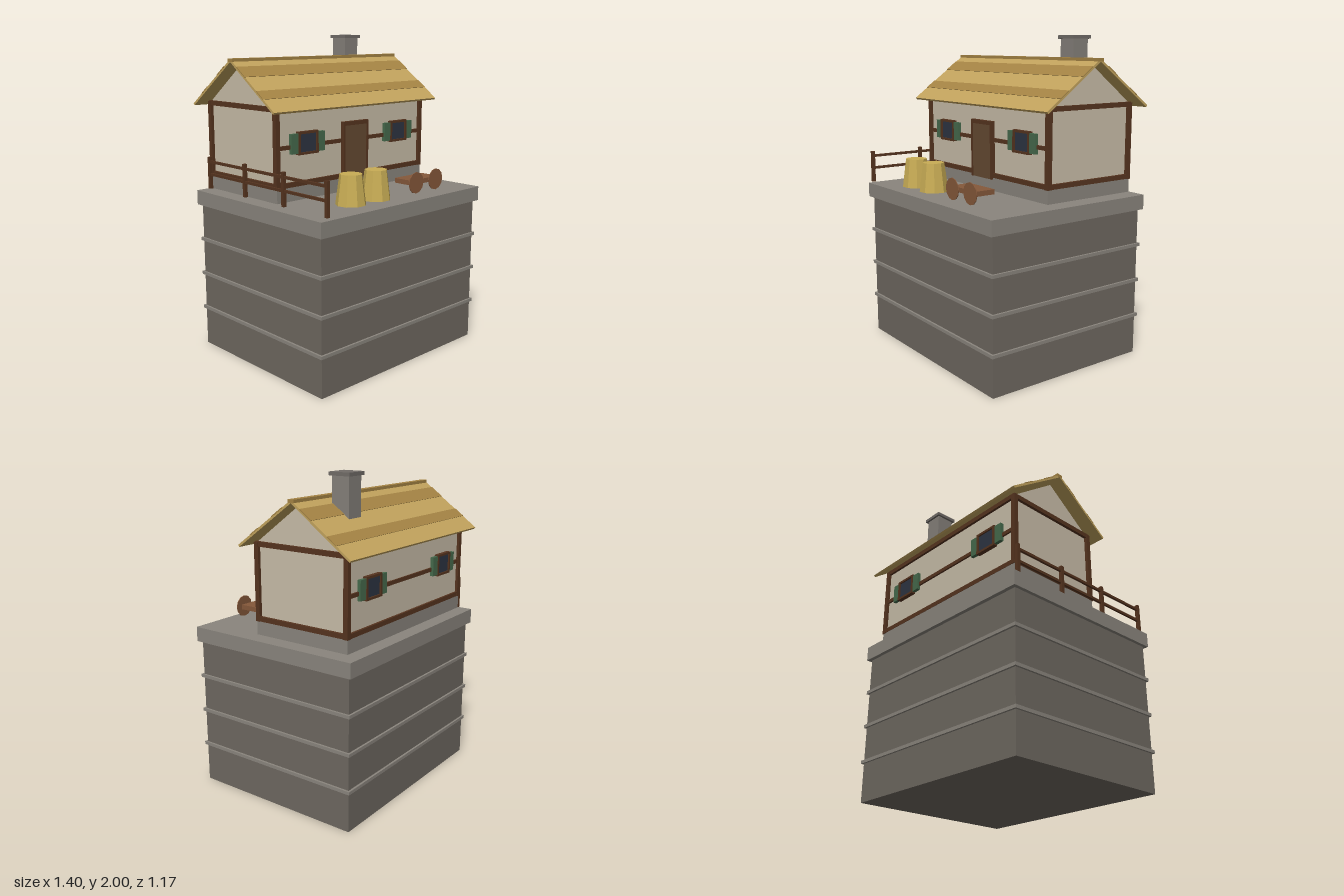
import * as THREE from 'three';

const COLORS = {
  stone: 0x6e6860, trim: 0x8a857d, plaster: 0xc8bda8, timber: 0x56341f, door: 0x654a32,
  thatch: 0xc2a35d, thatchDark: 0xa58444, chimney: 0x85807a, chimneyCap: 0x716c68,
  glass: 0x2d3442, shutter: 0x466a4c, straw: 0xc9ad55, cart: 0x85583a,
};
const materials = {};
for (const key in COLORS) {
  materials[key] = new THREE.MeshStandardMaterial({ color: COLORS[key], flatShading: true });
}

function add(parent, name, geometry, color, x = 0, y = 0, z = 0) {
  const mesh = new THREE.Mesh(geometry, materials[color]);
  mesh.name = name;
  mesh.position.set(x, y, z);
  parent.add(mesh);
  return mesh;
}

// Box given by its extents along each axis
function box(parent, name, color, [x0, x1], [y0, y1], [z0, z1]) {
  return add(parent, name, new THREE.BoxGeometry(x1 - x0, y1 - y0, z1 - z0), color,
    (x0 + x1) / 2, (y0 + y1) / 2, (z0 + z1) / 2);
}

function group(parent, name, x = 0, y = 0, z = 0) {
  const g = new THREE.Group();
  g.name = name;
  g.position.set(x, y, z);
  parent.add(g);
  return g;
}

const HOUSE_Z = -0.19;

function buildBase(root) {
  const base = group(root, 'stoneBase');
  box(base, 'block', 'stone', [-0.675, 0.675], [0, 0.94], [-0.56, 0.56]);
  for (const y of [0.253, 0.485, 0.714]) {
    box(base, 'band', 'trim', [-0.688, 0.688], [y - 0.01, y + 0.01], [-0.573, 0.573]);
  }
  box(base, 'capSlab', 'trim', [-0.697, 0.697], [0.94, 1.032], [-0.585, 0.585]);
}

// Window with frame and shutters, facing +z
function buildWindow(parent, x) {
  const w = group(parent, 'window', x, 1.385, 0.325);
  box(w, 'glass', 'glass', [-0.065, 0.065], [-0.056, 0.056], [-0.01, 0.008]);
  for (const s of [-1, 1]) {
    add(w, 'frameSide', new THREE.BoxGeometry(0.014, 0.136, 0.03), 'timber', s * 0.07, 0, 0.002);
    add(w, 'frameRail', new THREE.BoxGeometry(0.154, 0.014, 0.03), 'timber', 0, s * 0.061, 0.002);
    add(w, 'shutter', new THREE.BoxGeometry(0.053, 0.118, 0.022), 'shutter', s * 0.104, 0, 0.002);
  }
}

function buildHouse(root) {
  const house = group(root, 'house', 0, 0, HOUSE_Z);
  box(house, 'plinth', 'trim', [-0.63, 0.63], [1.048, 1.14], [-0.328, 0.328]);
  box(house, 'walls', 'plaster', [-0.615, 0.615], [1.13, 1.6], [-0.315, 0.315]);

  // Gable prism under the roof
  const tri = new THREE.Shape([
    new THREE.Vector2(-0.32, 1.6), new THREE.Vector2(0.32, 1.6), new THREE.Vector2(0, 1.837),
  ]);
  const gable = add(house, 'gables',
    new THREE.ExtrudeGeometry(tri, { depth: 1.23, bevelEnabled: false }), 'plaster', -0.615);
  gable.rotation.y = Math.PI / 2;

  // Timber frame
  for (const s of [-1, 1]) {
    for (const t of [-1, 1]) {
      add(house, 'cornerPost', new THREE.BoxGeometry(0.03, 0.47, 0.03), 'timber', s * 0.62, 1.365, t * 0.317);
    }
    for (const y of [1.146, 1.59]) {
      add(house, 'longBeam', new THREE.BoxGeometry(1.25, 0.029, 0.028), 'timber', 0, y, s * 0.316);
      add(house, 'endBeam', new THREE.BoxGeometry(0.028, 0.029, 0.64), 'timber', s * 0.619, y, 0);
    }
    add(house, 'middleBeam', new THREE.BoxGeometry(1.23, 0.024, 0.024), 'timber', 0, 1.367, s * 0.314);
  }

  // Windows on the front and the back
  for (const turn of [0, Math.PI]) {
    const side = group(house, turn ? 'backWindows' : 'frontWindows');
    side.rotation.y = turn;
    for (const s of [-1, 1]) buildWindow(side, s * 0.394);
  }

  // Door
  box(house, 'doorPanel', 'door', [-0.095, 0.092], [1.12, 1.462], [0.31, 0.338]);
  for (const x of [-0.102, 0.099]) {
    box(house, 'doorJamb', 'timber', [x - 0.007, x + 0.007], [1.12, 1.48], [0.31, 0.343]);
  }
  box(house, 'doorLintel', 'timber', [-0.109, 0.106], [1.458, 1.482], [0.31, 0.343]);
}

function buildRoof(root) {
  const roof = group(root, 'roof', 0, 1.858, HOUSE_Z);
  const angle = Math.atan2(0.279, 0.392);
  const length = Math.hypot(0.279, 0.392);
  for (const turn of [0, Math.PI]) {
    const half = group(roof, 'roofHalf');
    half.rotation.y = turn;
    const slope = group(half, 'slope');
    slope.rotation.x = angle;
    box(slope, 'slab', 'thatch', [-0.697, 0.697], [-0.007, 0.007], [0, length]);
    // Darker thatch courses
    for (const [a, b] of [[0.07, 0.165], [0.292, 0.366]]) {
      box(slope, 'darkCourse', 'thatchDark', [-0.698, 0.698], [0.004, 0.0095], [a, b]);
    }
  }
  box(roof, 'ridge', 'thatchDark', [-0.698, 0.698], [-0.008, 0.012], [-0.021, 0.021]);

  const chimney = group(root, 'chimney', 0.345, 0, -0.303);
  box(chimney, 'stack', 'chimney', [-0.058, 0.058], [1.69, 1.982], [-0.058, 0.058]);
  box(chimney, 'chimneyCap', 'chimneyCap', [-0.071, 0.071], [1.979, 2], [-0.071, 0.071]);
}

function buildFence(root) {
  const fence = group(root, 'fence', -0.644);
  for (let i = 0; i < 4; i++) {
    add(fence, 'post', new THREE.BoxGeometry(0.021, 0.202, 0.021), 'timber', 0, 1.149, 0.575 - i * 0.361);
  }
  for (const y of [1.14, 1.22]) {
    box(fence, 'rail', 'timber', [-0.007, 0.007], [y - 0.008, y + 0.008], [-0.508, 0.575]);
  }
}

function buildYard(root) {
  // Straw stacks
  for (const x of [-0.324, -0.117]) {
    const stack = add(root, 'strawStack', new THREE.CylinderGeometry(0.067, 0.091, 0.18, 9), 'straw', x, 1.138, 0.432);
    stack.rotation.y = Math.PI;
  }
  // Small cart
  const cart = group(root, 'cart');
  box(cart, 'bed', 'cart', [0.149, 0.401], [1.098, 1.128], [0.345, 0.478]);
  for (const x of [0.182, 0.366]) {
    const wheel = add(cart, 'wheel', new THREE.CylinderGeometry(0.067, 0.067, 0.005, 12), 'cart', x, 1.113, 0.491);
    wheel.rotation.x = Math.PI / 2;
  }
}

export function createModel() {
  const root = new THREE.Group();
  root.name = 'houseOnStoneBase';
  buildBase(root);
  buildHouse(root);
  buildRoof(root);
  buildFence(root);
  buildYard(root);
  return root;
}
